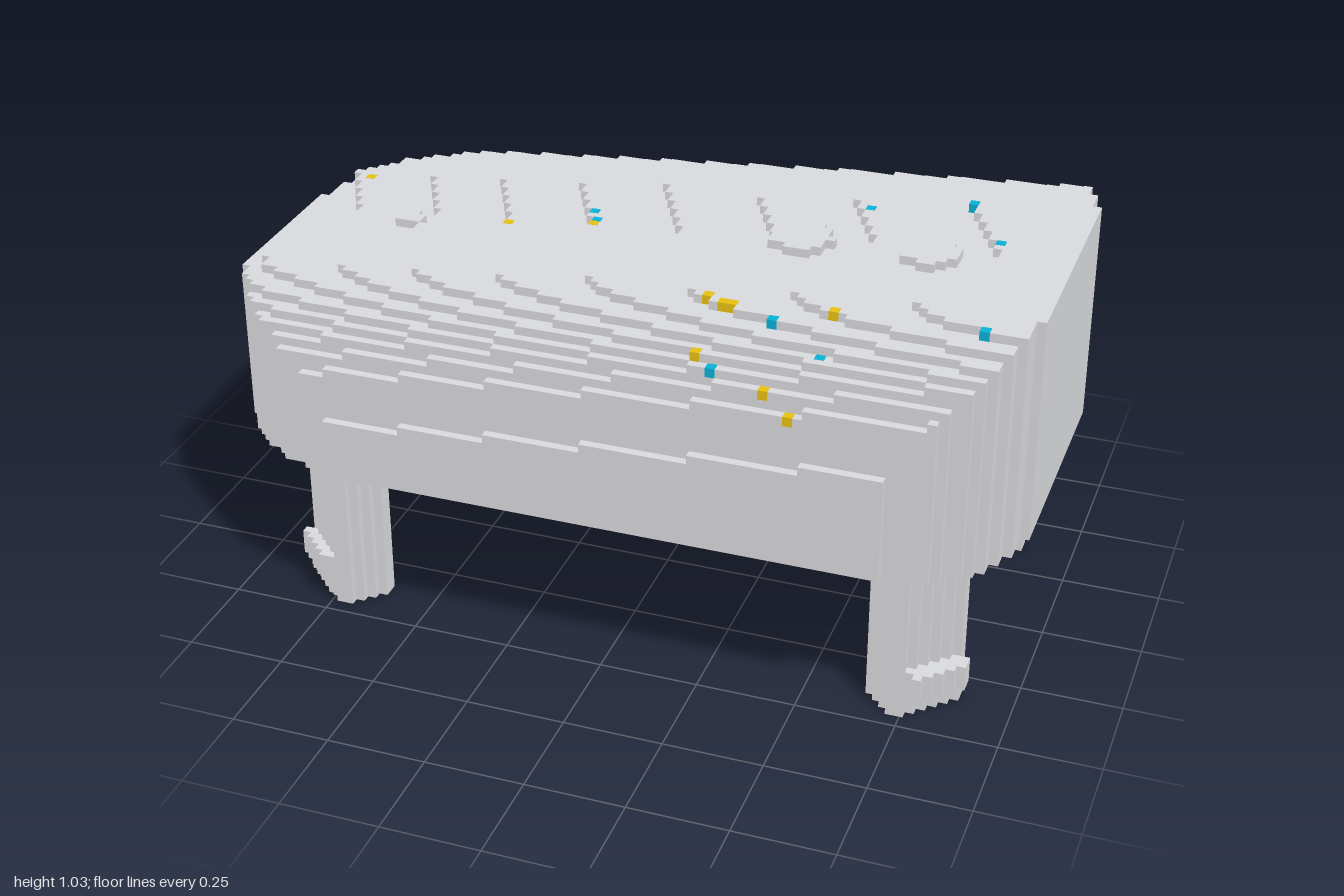
import * as THREE from 'three';
import { mergeGeometries } from 'three/addons/utils/BufferGeometryUtils.js';

const V = 2 / 91; // size of one cell

// Meshes every cell in the box [min, max] whose centre passes inside(x, y, z).
function stepped(min, max, inside) {
  const lo = [Math.floor(min[0] / V - 0.5), Math.floor(min[1] / V), Math.floor(min[2] / V)];
  const n = max.map((m, a) => Math.ceil(m / V) - lo[a] + 2);
  const origin = [(lo[0] - 0.5) * V, lo[1] * V, lo[2] * V];
  const full = new Uint8Array(n[0] * n[1] * n[2]);
  const id = c => (c[0] * n[1] + c[1]) * n[2] + c[2];
  const solid = c => c.every((k, a) => k >= 0 && k < n[a]) && full[id(c)] === 1;
  const each = fn => {
    for (let i = 0; i < n[0]; i++)
      for (let j = 0; j < n[1]; j++)
        for (let k = 0; k < n[2]; k++) fn([i, j, k]);
  };
  each(c => {
    const p = c.map((k, a) => origin[a] + (k + 0.5) * V);
    full[id(c)] = p[1] > 0 && inside(...p) ? 1 : 0;
  });
  const pos = [], nor = [], idx = [];
  each(c => {
    if (!solid(c)) return;
    for (let a = 0; a < 3; a++)
      for (const s of [-1, 1]) {
        const next = [...c];
        next[a] += s;
        if (solid(next)) continue;
        const b = (a + 1) % 3, d = (a + 2) % 3, base = pos.length / 3;
        for (const [u, w] of [[0, 0], [1, 0], [1, 1], [0, 1]]) {
          const q = [...c];
          q[a] += s > 0 ? 1 : 0;
          q[b] += u;
          q[d] += w;
          pos.push(...q.map((k, e) => origin[e] + k * V));
          nor.push(...[0, 1, 2].map(e => (e === a ? s : 0)));
        }
        const order = s > 0 ? [0, 1, 2, 0, 2, 3] : [0, 2, 1, 0, 3, 2];
        idx.push(...order.map(o => base + o));
      }
  });
  const g = new THREE.BufferGeometry();
  g.setAttribute('position', new THREE.Float32BufferAttribute(pos, 3));
  g.setAttribute('normal', new THREE.Float32BufferAttribute(nor, 3));
  g.setIndex(idx);
  return g;
}

// Plan outline: [x, z] points along the front and back edges
const FRONT = [[-1, 0.31], [-0.95, 0.4], [-0.88, 0.48], [-0.8, 0.54], [-0.67, 0.585],
  [0.69, 0.585], [0.83, 0.56], [0.88, 0.52], [0.94, 0.46], [0.97, 0.4], [1, 0.27]];
const BACK = [[-1, -0.07], [-0.96, -0.22], [-0.86, -0.34], [-0.78, -0.4], [-0.68, -0.46],
  [-0.58, -0.495], [0.41, -0.583], [0.78, -0.59], [0.84, -0.55], [0.93, -0.47],
  [0.97, -0.4], [1, -0.29]];
function edge(list, x) {
  for (let i = 1; i < list.length; i++) {
    const [x0, z0] = list[i - 1], [x1, z1] = list[i];
    if (x <= x1) return z0 + (z1 - z0) * (x - x0) / (x1 - x0);
  }
  return list[list.length - 1][1];
}
const inPlan = (x, z) => Math.abs(x) < 1 && z < edge(FRONT, x) && z > edge(BACK, x);

// Raised pads on the top: x, z, radius
const PADS = [[0.345, 0.01, 0.075], [0.67, 0.04, 0.066], [-0.685, 0.015, 0.035]];

// Top height: a stepped slope with a shallow central valley and rounded long edges
const SLOPE = [-1.15, -0.95, -0.74, -0.54, -0.32, -0.09, 0.16, 0.41, 0.7, 1].map((x, i) => [x, i]);
function topHeight(x, z) {
  const valley = 0.12 * Math.max(0, 1 - Math.abs(z) / 0.24);
  const t = Math.min(1, z > 0 ? Math.max(0, z - 0.3) / 0.283 : Math.max(0, -z - 0.32) / 0.29);
  let drop = (z > 0 ? 0.265 : 0.23) * (1 - Math.sqrt(1 - t * t));
  if (z > 0.575) drop += 0.045;
  let level = Math.min(8, Math.floor(edge(SLOPE, x - valley) - drop / V));
  if (PADS.some(([px, pz, r]) => Math.hypot(x - px, z - pz) < r)) level++;
  return (39 + level) * V;
}

const WALL = 4 * V, RIM = 21 * V;
function inCavity(x, z) {
  for (let k = 0; k < 8; k++) {
    const a = k * Math.PI / 4;
    if (!inPlan(x + WALL * Math.cos(a), z + WALL * Math.sin(a))) return false;
  }
  return true;
}
const shellTest = (x, y, z) => {
  if (y < RIM || !inPlan(x, z)) return false;
  const h = topHeight(x, z);
  return y < h && (y > h - 5 * V || !inCavity(x, z));
};

// Leg turned 45 degrees, with an upturned toe pointing outwards
function legGeometry(cx, cz) {
  const sx = Math.sign(cx), sz = Math.sign(cz);
  return stepped([cx - 0.25, 0, cz - 0.25], [cx + 0.25, 0.76, cz + 0.25], (x, y, z) => {
    const dx = (x - cx) * sx, dz = (z - cz) * sz;
    const out = (dx + dz) * Math.SQRT1_2, side = Math.abs(dx - dz) * Math.SQRT1_2;
    if (y < 0.75 && Math.abs(out) < 0.066 && side < 0.1) return true;
    const toeOut = out + V * Math.SQRT1_2, toeSide = Math.abs(dx - dz - V) * Math.SQRT1_2;
    const reach = y > 0.065 ? 0.125 : 0.1;
    return y > 0.025 && y < 0.132 && out > 0 && toeOut < reach && toeSide < 0.08;
  });
}

// Inner balls: x, y, z
const BALLS = [[0.51, 0.615, 0.135], [0.76, 0.63, 0.16], [-0.45, 0.615, 0.19], [-0.51, 0.62, -0.2],
  [-0.16, 0.615, 0.26], [0.47, 0.7, -0.33], [0, 0.74, -0.38]];

// Single coloured cells along the steps of the top: x, z
const YELLOW = [[-0.91, -0.21], [-0.42, 0.01], [-0.2, -0.01], [0.46, -0.39], [0.81, -0.41],
  [0.22, 0.34], [0.26, 0.36], [0.285, 0.36], [0.52, 0.36], [0.24, 0.495], [0.41, 0.535], [0.48, 0.56]];
const BLUE = [[-0.22, -0.08], [-0.2, -0.035], [0.46, -0.19], [0.77, -0.39], [0.7, -0.25],
  [0.81, -0.06], [0.39, 0.4], [0.53, 0.47], [0.88, 0.38], [0.28, 0.515]];
function flecks(list) {
  const s = V * 1.06;
  return mergeGeometries(list.map(([x, z]) => {
    const px = Math.round(x / V) * V, pz = (Math.floor(z / V) + 0.5) * V;
    return new THREE.BoxGeometry(s, s, s).translate(px, topHeight(px, pz) - V / 2, pz);
  }));
}

export function createModel() {
  const model = new THREE.Group();
  const material = (name, color) => {
    const m = new THREE.MeshStandardMaterial({ color });
    m.name = name;
    return m;
  };
  const grey = material('light grey', 0xd8d9dc);
  const blue = material('teal blue', 0x08b2d6);
  const yellow = material('mustard yellow', 0xe8c010);
  const add = (name, geometry, mat) => {
    const mesh = new THREE.Mesh(geometry, mat);
    mesh.name = name;
    model.add(mesh);
  };

  // Hollow shell, open underneath
  add('shell', stepped([-1, RIM, -0.6], [1, 1.06, 0.6], shellTest), grey);

  // Legs
  add('frontLeftLeg', legGeometry(0.755, 0.355), grey);
  add('frontRightLeg', legGeometry(-0.73, 0.355), grey);
  add('backLeftLeg', legGeometry(0.755, -0.4), grey);
  add('backRightLeg', legGeometry(-0.73, -0.19), grey);

  // Central drum under the top: grey body with a blue base
  const drum = (y0, y1) => stepped([-0.25, y0, -0.25], [0.25, y1, 0.25],
    (x, y, z) => y > y0 && y < y1 && Math.hypot(x - 0.02, z) < 0.2);
  add('drumBase', drum(22 * V, 28 * V), blue);
  add('drumBody', drum(28 * V, 38 * V), grey);

  // Balls around the drum
  const R = 0.148;
  for (const [bx, by, bz] of BALLS) {
    add('ball', stepped([bx - R, by - R, bz - R], [bx + R, by + R, bz + R],
      (x, y, z) => Math.hypot(x - bx, y - by, z - bz) < R && y < topHeight(x, z) - 3 * V), blue);
  }

  // Small marker under the top
  add('innerMarker', new THREE.BoxGeometry(3 * V, 3 * V, 2 * V).translate(-0.42, 0.785, -0.05), yellow);

  // Coloured flecks
  add('yellowFlecks', flecks(YELLOW), yellow);
  add('blueFlecks', flecks(BLUE), blue);
  return model;
}
